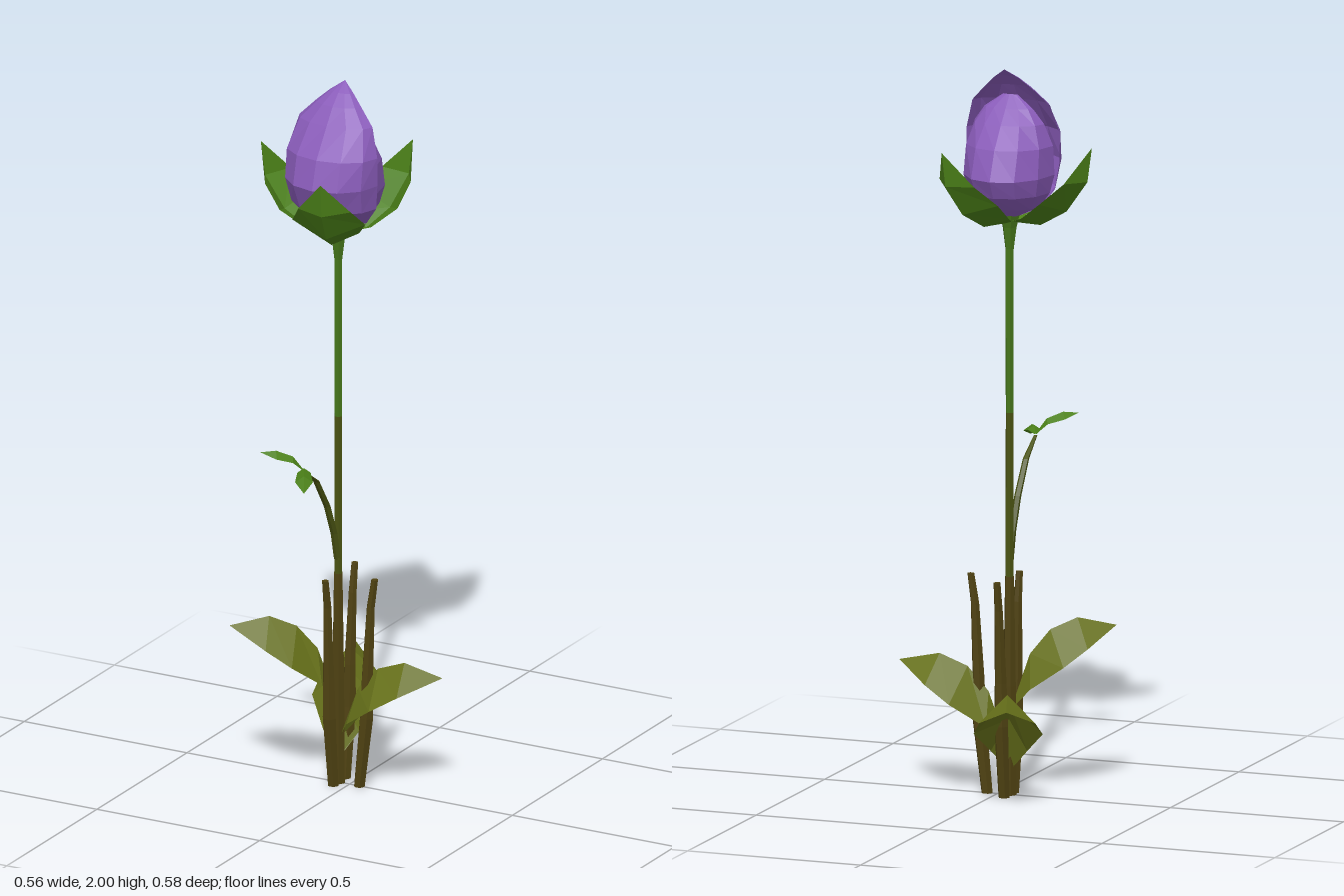
import * as THREE from 'three';

const AXIS_X = -0.035; // the flower stands slightly off centre
const mat = (color) => new THREE.MeshStandardMaterial({ color, flatShading: true, side: THREE.DoubleSide });
const BROWN = mat(0x4f4212), OLIVE = mat(0x4a5312), GREEN = mat(0x46761a);
const LEAF = mat(0x66701a), SEPAL = mat(0x4b8018), PETAL = mat(0x8a5cba);

// Skin a list of equally long rows of [x, y, z] points
function sheet(name, rows, material) {
  const pos = [];
  const same = (a, b) => Math.hypot(a[0] - b[0], a[1] - b[1], a[2] - b[2]) < 1e-6;
  const tri = (a, b, c) => {
    if (!same(a, b) && !same(b, c) && !same(c, a)) pos.push(...a, ...b, ...c);
  };
  for (let i = 0; i < rows.length - 1; i++) {
    for (let j = 0; j < rows[i].length - 1; j++) {
      const a = rows[i][j], b = rows[i][j + 1], c = rows[i + 1][j + 1], d = rows[i + 1][j];
      tri(a, b, c);
      tri(a, c, d);
    }
  }
  const geo = new THREE.BufferGeometry();
  geo.setAttribute('position', new THREE.Float32BufferAttribute(pos, 3));
  geo.computeVertexNormals();
  const mesh = new THREE.Mesh(geo, material);
  mesh.name = name;
  return mesh;
}

// Tapered stalk with level rings; stations are [x, y, z, radius]
function limb(name, stations, sides, material) {
  const ring = ([x, y, z, r]) => Array.from({ length: sides + 1 }, (_, k) => {
    const a = ((k % sides) / sides) * Math.PI * 2;
    return [x + r * Math.cos(a), y, z + r * Math.sin(a)];
  });
  const cap = ([x, y, z]) => ring([x, y, z, 0]);
  const last = stations[stations.length - 1];
  return sheet(name, [cap(stations[0]), ...stations.map(ring), cap(last)], material);
}

// Blade growing along +x; stations are [rib x, rib y, margin x, margin y, half width]
function blade(name, stations, material) {
  return sheet(name, stations.map(([rx, ry, mx, my, w]) => [[mx, my, -w], [rx, ry, 0], [mx, my, w]]), material);
}

// Cupped petal; stations are [y, half width, edge z, middle z]
function petal(name, stations) {
  const n = 6;
  return sheet(name, stations.map(([y, w, edge, mid]) => Array.from({ length: n + 1 }, (_, k) => {
    const a = (k / n - 0.5) * Math.PI;
    return [w * Math.sin(a), y, edge + (mid - edge) * Math.cos(a)];
  })), PETAL);
}

export function createModel() {
  const model = new THREE.Group();
  const plant = new THREE.Group();
  plant.name = 'flower';
  plant.position.x = AXIS_X;
  model.add(plant);

  // Main stem, greener towards the top
  plant.add(
    limb('lowerStem', [[0, 0, 0, 0.02], [0, 0.3, 0, 0.018], [0, 0.6, 0, 0.013]], 6, BROWN),
    limb('middleStem', [[0, 0.6, 0, 0.012], [0, 1.05, 0, 0.011]], 6, OLIVE),
    limb('upperStem', [[0, 1.05, 0, 0.011], [0, 1.5, 0, 0.012], [0, 1.56, 0, 0.02], [0, 1.6, 0, 0.03]], 6, GREEN),
  );

  // Cut stalks around the foot, leaning out
  for (const [dx, dz, foot] of [[1, 0, 0.065], [0, 1, 0.028], [0, -1, 0.04]]) {
    const at = (d, y, r) => [dx * d, y, dz * d, r];
    const top = dx ? 0.112 : dz > 0 ? 0.072 : 0.092;
    plant.add(limb('cutStalk', [
      at(foot, 0, 0.016), at(foot + 0.022, 0.2, 0.02), at(foot + 0.025, 0.32, 0.017),
      at(top - 0.012, 0.52, 0.012), at(top, 0.6, 0.01),
    ], 6, BROWN));
  }

  // Three roof-shaped leaves low on the stem: direction x, z, reach, lift
  for (const [dx, dz, reach, lift] of [[0.315, -0.01, 1, 0], [-0.245, 0.155, 0.93, 0.105], [-0.105, -0.29, 0.98, -0.06]]) {
    const leaf = blade('leaf', [
      [0.005, 0.13, 0.005, 0.13, 0.004],
      [0.06, 0.28, 0.05, 0.19, 0.05],
      [0.12, 0.345, 0.14, 0.255, 0.095],
      [0.2, 0.375, 0.215, 0.30, 0.077],
      [0.315, 0.35, 0.315, 0.35, 0],
    ], LEAF);
    leaf.rotation.y = Math.atan2(-dz, dx);
    leaf.scale.set(reach, 1, reach);
    leaf.position.y = lift;
    plant.add(leaf);
  }

  // Thin side sprig with two leaflets
  plant.add(limb('sprig', [
    [0, 0.64, 0.003, 0.01], [0, 0.72, 0.022, 0.01], [0, 0.81, 0.06, 0.01],
    [0, 0.9, 0.12, 0.009], [0, 0.95, 0.19, 0.005],
  ], 5, OLIVE));
  const leaflets = [
    { dx: -0.1, dz: 0.06, rib: [[0, 0.955], [0.03, 0.995], [0.075, 1.012], [0.118, 1.008]] },
    { dx: 0.055, dz: 0.1, rib: [[0, 0.955], [0.03, 0.972], [0.075, 0.965], [0.115, 0.93]] },
  ];
  for (const { dx, dz, rib } of leaflets) {
    const widths = [0.003, 0.018, 0.024, 0];
    const leaflet = blade('leaflet', rib.map(([r, y], i) => [r, y, r, y - widths[i] * 0.7, widths[i]]), SEPAL);
    leaflet.rotation.y = Math.atan2(-dz, dx);
    leaflet.position.z = 0.19;
    plant.add(leaflet);
  }

  // Three cupped sepals under the bud
  for (const [dx, dz] of [[-1, 0], [0.125, -0.23], [0.075, 0.24]]) {
    const sepal = blade('sepal', [
      [0, 1.575, 0, 1.575, 0.012],
      [0.09, 1.572, 0.06, 1.6, 0.07],
      [0.165, 1.615, 0.125, 1.65, 0.1],
      [0.225, 1.7, 0.185, 1.705, 0.072],
      [0.238, 1.795, 0.238, 1.795, 0],
    ], SEPAL);
    sepal.rotation.y = Math.atan2(-dz, dx);
    plant.add(sepal);
  }

  // Bud of two shells, the front one curling over the back one
  plant.add(
    petal('frontPetal', [
      [1.585, 0.01, 0, 0.01], [1.62, 0.09, 0.005, 0.065], [1.67, 0.125, 0.015, 0.115],
      [1.74, 0.134, 0.025, 0.146], [1.82, 0.135, 0.027, 0.122], [1.9, 0.112, 0.012, 0.065],
      [1.945, 0.068, -0.005, 0.032], [1.975, 0.035, -0.02, 0], [2, 0, -0.038, -0.038],
    ]),
    petal('backPetal', [
      [1.585, 0.01, 0, -0.01], [1.62, 0.085, 0.005, -0.07], [1.66, 0.112, 0.012, -0.12],
      [1.71, 0.124, 0.015, -0.146], [1.79, 0.122, 0.01, -0.112], [1.85, 0.1, 0, -0.065],
      [1.89, 0.07, -0.005, -0.03], [1.925, 0.02, 0.005, 0],
    ]),
  );
  return model;
}
